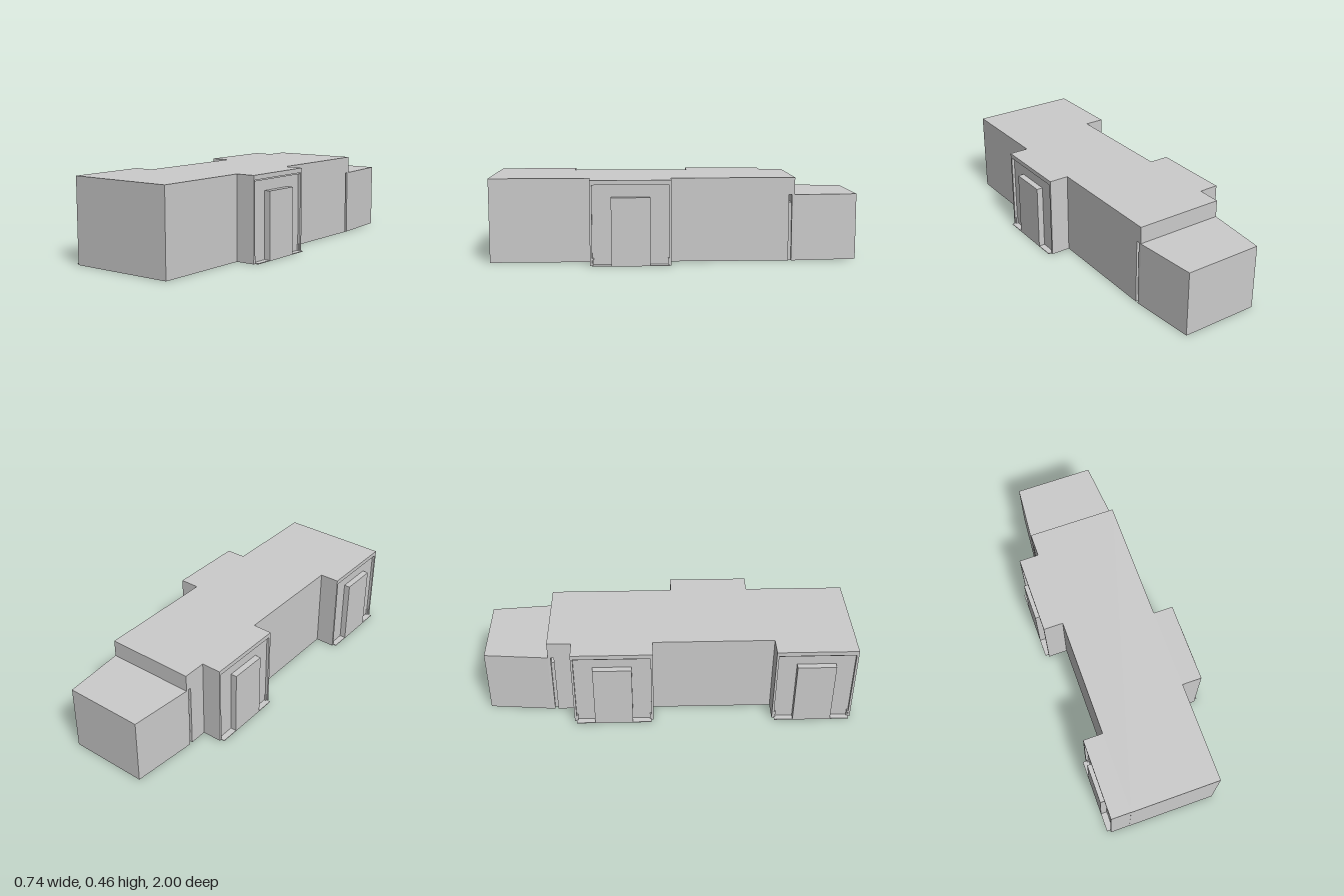
import * as THREE from 'three';

const material = new THREE.MeshStandardMaterial({ color: 0xcccccc, flatShading: true });
const HEIGHT = 0.457, HALF = 0.245; // main hall height and half width
const TAIL_HEIGHT = 0.363;

function add(parent, name, geometry) {
  const mesh = new THREE.Mesh(geometry, material);
  mesh.name = name;
  parent.add(mesh);
  return mesh;
}

// box given by its min and max corners
function block(parent, name, [x0, y0, z0], [x1, y1, z1]) {
  const g = new THREE.BoxGeometry(x1 - x0, y1 - y0, z1 - z0);
  g.translate((x0 + x1) / 2, (y0 + y1) / 2, (z0 + z1) / 2);
  return add(parent, name, g);
}

// floor plan of [x, z] points raised to a height
function plan(points, height) {
  const shape = new THREE.Shape(points.map(([x, z]) => new THREE.Vector2(x, -z)));
  return new THREE.ExtrudeGeometry(shape, { depth: height, bevelEnabled: false }).rotateX(-Math.PI / 2);
}

// side bay facing +x, centred on z = 0
function createBay() {
  const bay = new THREE.Group();
  const w = 0.2175, wall = 0.338, face = 0.353, out = 0.372;
  block(bay, 'bayCore', [HALF - 0.02, 0, -w], [wall, HEIGHT, w]);

  // thin rim around the recessed wall, open at the floor
  const i = w - 0.012, top = 0.432;
  const rim = new THREE.Shape([
    [-w, 0], [-i, 0], [-i, top], [i, top], [i, 0], [w, 0], [w, HEIGHT], [-w, HEIGHT],
  ].map(([z, y]) => new THREE.Vector2(z, y)));
  const g = new THREE.ExtrudeGeometry(rim, { depth: face - wall, bevelEnabled: false });
  add(bay, 'bayRim', g.rotateY(-Math.PI / 2).translate(face, 0, 0));

  block(bay, 'door', [wall - 0.005, 0, -0.104], [out, 0.367, 0.104]);
  block(bay, 'sill', [wall - 0.005, 0, -i], [out, 0.004, i]);
  // low guards at both ends of the recess and a lintel strip at its top
  for (const s of [-1, 1]) {
    const a = s * i, b = s * (i - 0.008);
    block(bay, 'guard', [wall - 0.005, 0, Math.min(a, b)], [face - 0.004, 0.04, Math.max(a, b)]);
  }
  block(bay, 'lintel', [wall - 0.005, top - 0.008, -i], [face - 0.008, top, i]);
  return bay;
}

export function createModel() {
  const model = new THREE.Group();
  model.name = 'building';

  // main hall, its roof part overhanging the joint at the back
  block(model, 'hall', [-HALF, 0, -0.623], [HALF, TAIL_HEIGHT, 1]);
  block(model, 'hallTop', [-HALF, TAIL_HEIGHT, -0.655], [HALF, HEIGHT, 1]);

  // tapered lower annex with a recessed joint to the hall
  add(model, 'annex', plan([[-HALF, -0.64], [HALF, -0.64], [HALF, -0.655],
    [0.215, -1], [-0.215, -1], [-HALF, -0.655]], TAIL_HEIGHT));
  block(model, 'joint', [-0.23, 0, -0.645], [0.23, 0.32, -0.618]);

  // one bay on the left, two on the right
  for (const [side, z] of [[1, 0.2375], [-1, -0.3075], [-1, 0.7815]]) {
    const bay = createBay();
    bay.name = side > 0 ? 'leftBay' : 'rightBay';
    bay.position.z = z;
    if (side < 0) bay.rotation.y = Math.PI;
    model.add(bay);
  }
  return model;
}
